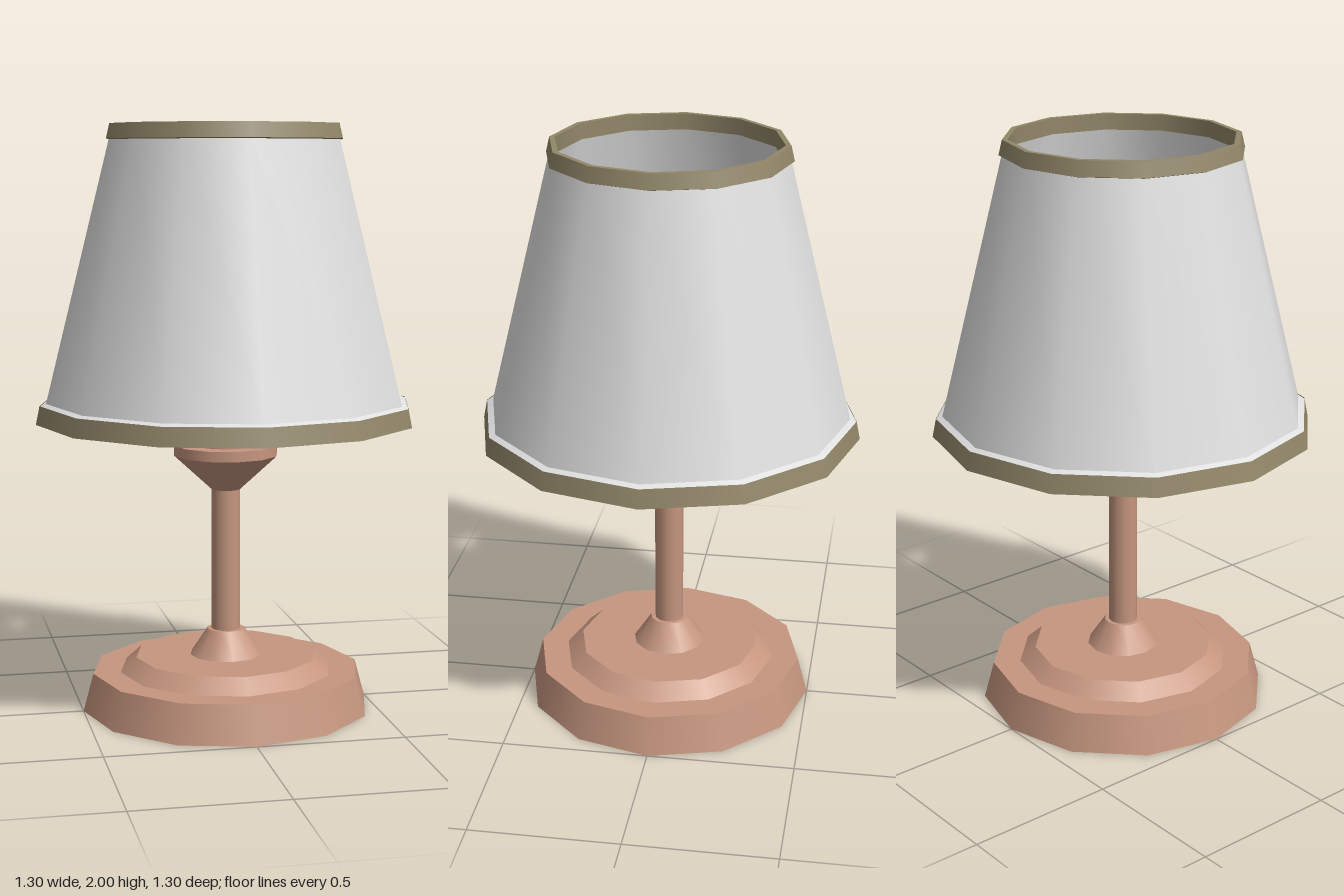
import * as THREE from 'three';
import { mergeGeometries } from 'three/addons/utils/BufferGeometryUtils.js';

const SIDES = 12;

// Revolve a profile of [radius, height]; each step is its own band, so
// profile edges stay sharp while the bands are smooth all round.
function turned(profile) {
  const bands = [];
  for (let i = 0; i < profile.length - 1; i++) {
    const pts = [profile[i], profile[i + 1]].map(([r, y]) => new THREE.Vector2(r, y));
    bands.push(new THREE.LatheGeometry(pts, SIDES));
  }
  return mergeGeometries(bands);
}

export function createModel() {
  const material = (name, color) => {
    const m = new THREE.MeshStandardMaterial({ color, side: THREE.DoubleSide });
    m.name = name;
    return m;
  };
  const copper = material('copper', 0xc6967f);
  const fabric = material('fabric', 0xe0e0e0);
  const olive = material('olive trim', 0x928769);

  const lamp = new THREE.Group();
  lamp.name = 'tableLamp';
  const add = (name, geometry, mat) => {
    const mesh = new THREE.Mesh(geometry, mat);
    mesh.name = name;
    lamp.add(mesh);
  };

  // Hollow stepped foot with its cone
  add('base', turned([
    [0.5, 0], [0.465, 0.13], [0.37, 0.13], [0.315, 0.18],
    [0.125, 0.18], [0.065, 0.27], [0.05, 0.27],
  ]), copper);
  add('stem', turned([[0.05, 0.27], [0.05, 0.76]]), copper);

  // Flared collar and bulb holder
  add('collar', turned([[0.05, 0.76], [0.18, 0.88], [0.18, 0.915], [0.12, 0.915]]), copper);
  add('socket', turned([[0.12, 0.915], [0.12, 1.3], [0, 1.3]]), copper);

  // Bulb: narrow neck swelling into a round head
  const bulb = [new THREE.Vector2(0.085, 1.3)];
  for (let i = 0; i <= 8; i++) {
    const a = -0.7 + (i / 8) * (Math.PI / 2 + 0.7);
    bulb.push(new THREE.Vector2(0.168 * Math.cos(a), 1.5 + 0.168 * Math.sin(a)));
  }
  add('bulb', new THREE.LatheGeometry(bulb, SIDES), fabric);

  // Shade: inner wall, then outer wall with a small ledge above the lower trim
  add('shadeInside', turned([[0.375, 1.96], [0.6, 1.06]]), fabric);
  add('shadeOutside', turned([[0.637, 1.06], [0.615, 1.07], [0.395, 1.95]]), fabric);

  // Trim rings round both openings
  add('lowerTrim', turned([
    [0.6, 1.06], [0.615, 1.0], [0.65, 1.0], [0.637, 1.063],
  ]), olive);
  add('upperTrim', turned([
    [0.39, 1.945], [0.405, 1.95], [0.393, 2.0], [0.375, 2.0], [0.375, 1.945],
  ]), olive);

  return lamp;
}
